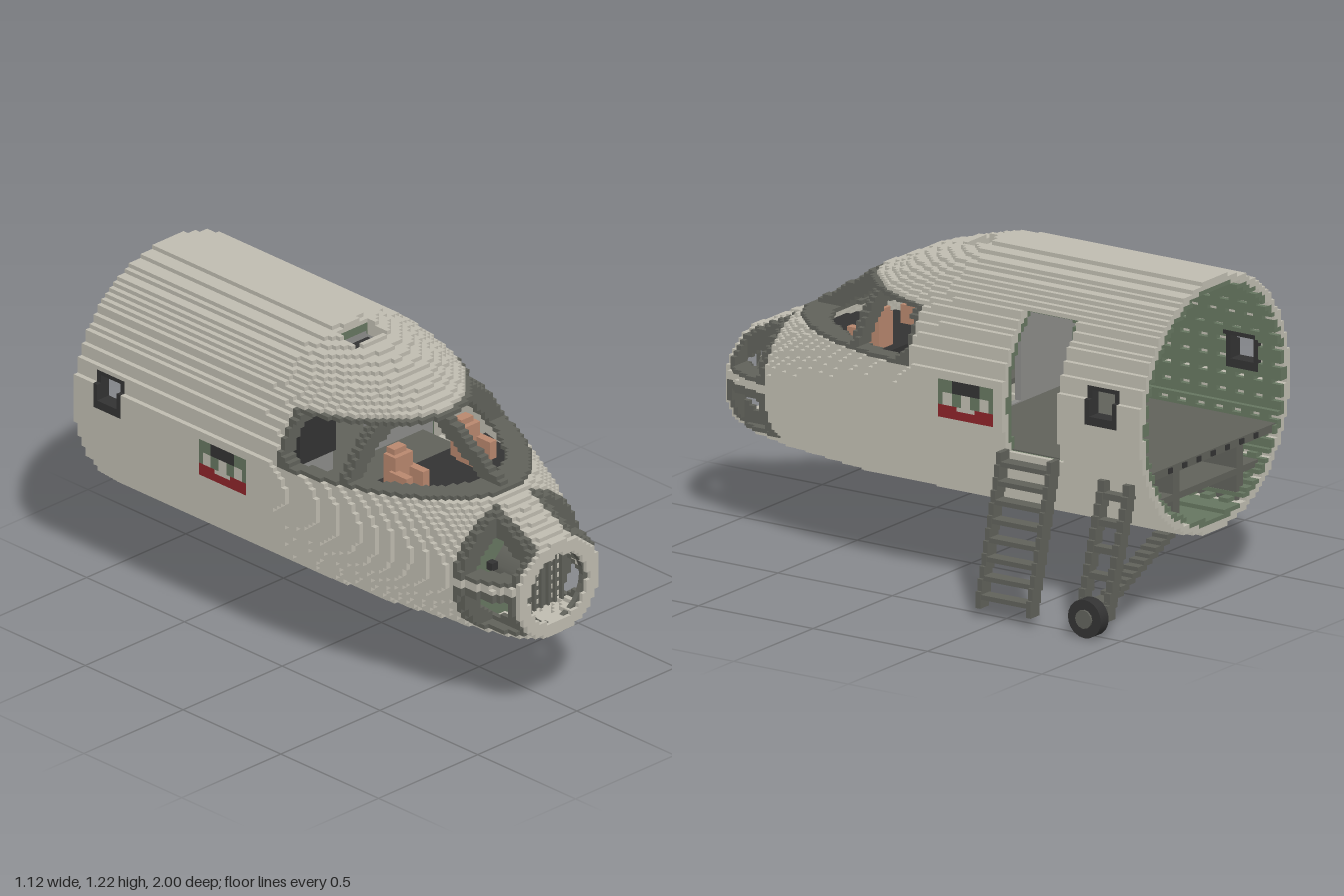
import * as THREE from 'three';

const mat = (name, hex) => {
  const m = new THREE.MeshStandardMaterial({ color: hex });
  m.name = name;
  return m;
};
const hullGrey = mat('warm light grey', 0xbfbcb0);
const darkGrey = mat('dark grey', 0x60615a);
const midGrey = mat('mid grey', 0x8c8c89);
const green = mat('sand green', 0x667660);
const black = mat('black', 0x333333);
const tan = mat('tan', 0xb8876e);
const red = mat('red', 0x8c2429);

const CX = -0.09; // fuselage centre line

// Fuselage stations: half width, widest height, top and bottom
const ST = [-0.1, 0, 0.2, 0.4, 0.6, 0.77, 0.9, 1];
const WIDTH = [0.475, 0.475, 0.45, 0.405, 0.345, 0.3, 0.255, 0.2];
const MID = [0.745, 0.745, 0.715, 0.675, 0.63, 0.58, 0.55, 0.53];
const TOP = [1.22, 1.2, 1.14, 1.045, 0.925, 0.815, 0.75, 0.705];
const BOTTOM = [0.27, 0.27, 0.27, 0.27, 0.285, 0.297, 0.315, 0.345];

function lerpTable(values, z) {
  if (z <= ST[0]) return values[0];
  let i = 1;
  while (i < ST.length - 1 && z > ST[i]) i++;
  const t = Math.min(1, (z - ST[i - 1]) / (ST[i] - ST[i - 1]));
  return values[i - 1] + (values[i] - values[i - 1]) * t;
}

// Depth below the fuselage skin, negative outside
function depthAt(dx, y, z) {
  const w = lerpTable(WIDTH, z), c = lerpTable(MID, z);
  const h = y > c ? lerpTable(TOP, z) - c : c - lerpTable(BOTTOM, z);
  return (1 - Math.hypot(dx / w, (y - c) / h)) * Math.min(w, h);
}

const inNoseWindow = (dx, y, z, m) => z > 0.79 - m && z < 0.96 + m &&
  ((y > 0.61 - m && dx > 0.11 - m) || (y > 0.38 - m && y < 0.53 + m && dx > 0.14 - m));
const inCabinWindow = (dx, y, z, m) => dx > 0.3 &&
  Math.abs(y - 0.82) < 0.05 + m && Math.abs(z + 0.83) < 0.05 + m;

// Part ids used by the brick grid
const PARTS = [null, ['hullPlating', hullGrey], ['innerLining', green], ['windowFrames', darkGrey],
  ['cabinWindowFrames', black], ['sidePanelRed', red]];

function brickAt(x, y, z, j, k) {
  const dx = Math.abs(x - CX), depth = depthAt(dx, y, z);
  if (depth < 0) return 0;
  if (depth > 0.05 && depthAt(dx, y, Math.min(z + 0.04, 0.99)) > 0.05) return 0;
  // door, roof opening
  if (x > 0.2 && y > 0.575 && y < 1.07 && z > -0.64 && z < -0.4) return 0;
  if (y > 1.1 && dx < 0.07 && z > -0.06 && z < 0.04) return 0;
  // cabin windows
  if (inCabinWindow(dx, y, z, 0)) return 0;
  if (inCabinWindow(dx, y, z, 0.018)) return 4;
  // cockpit glazing with pillars
  const rear = 0.04 + 0.05 * Math.pow(Math.abs(y - 0.93) / 0.09, 4);
  if (y > 0.845 && y < 1.02 && z > rear) return dx < 0.02 || (z > 0.28 && z < 0.32) ? 3 : 0;
  if (y > 0.822 && y < 1.035 && z > 0.03) return 3;
  // nose glazing
  if (inNoseWindow(dx, y, z, 0)) return 0;
  if (inNoseWindow(dx, y, z, 0.022)) return 3;
  // ribbed lining
  if (z < -0.06 && depth > 0.028) return j % 4 === 0 && k % 4 < 2 ? 0 : 2;
  // painted side panel
  const pz = Math.abs(z + 0.24);
  if (pz < 0.12 && y > 0.67 && y < 0.81) {
    if (y < 0.71) return pz < 0.04 && y > 0.69 ? 1 : 5;
    if (y < 0.765) return pz < 0.03 || (pz > 0.06 && pz < 0.09) ? 1 : 2;
    return pz < 0.06 ? 4 : 2;
  }
  return 1;
}

// Stepped brick shell: only exposed faces, joined into long strips
function buildShell(group) {
  const n = [48, 60, 100], size = [0.95 / 48, 0.95 / 60, 0.02], origin = [-0.565, 0.27, -1];
  const grid = new Uint8Array(n[0] * n[1] * n[2]);
  const at = (c) => c.some((v, a) => v < 0 || v >= n[a]) ? 0 : grid[(c[2] * n[1] + c[1]) * n[0] + c[0]];
  for (let k = 0; k < n[2]; k++) for (let j = 0; j < n[1]; j++) for (let i = 0; i < n[0]; i++) {
    const p = [i, j, k].map((v, a) => origin[a] + (v + 0.5) * size[a]);
    grid[(k * n[1] + j) * n[0] + i] = brickAt(p[0], p[1], p[2], j, k);
  }
  const out = PARTS.map(() => []);
  for (let a = 0; a < 3; a++) for (const sign of [-1, 1]) {
    const run = a === 2 ? 0 : 2, side = 3 - a - run, u = (a + 1) % 3, v = (a + 2) % 3;
    const c = [0, 0, 0];
    const exposed = () => {
      const id = at(c);
      if (!id) return 0;
      const q = [...c];
      q[a] += sign;
      return at(q) ? 0 : id;
    };
    for (let i = 0; i < n[a]; i++) for (let j = 0; j < n[side]; j++) {
      let current = 0, start = 0;
      for (let k = 0; k <= n[run]; k++) {
        c[a] = i; c[side] = j; c[run] = k;
        const id = k < n[run] ? exposed() : 0;
        if (id === current) continue;
        if (current) {
          const lo = [0, 0, 0], len = [1, 1, 1];
          lo[a] = i + (sign > 0 ? 1 : 0); lo[side] = j; lo[run] = start; len[run] = k - start;
          const corner = (du, dv) => {
            const p = [...lo];
            p[u] += du * len[u]; p[v] += dv * len[v];
            return p.map((t, b) => origin[b] + t * size[b]);
          };
          const quad = [corner(0, 0), corner(1, 0), corner(1, 1), corner(0, 1)];
          if (sign < 0) quad.reverse();
          for (const t of [0, 1, 2, 0, 2, 3]) out[current].push(...quad[t]);
        }
        current = id; start = k;
      }
    }
  }
  PARTS.forEach((part, id) => {
    if (!part || !out[id].length) return;
    const g = new THREE.BufferGeometry();
    g.setAttribute('position', new THREE.Float32BufferAttribute(out[id], 3));
    g.computeVertexNormals();
    add(group, part[0], g, part[1]);
  });
}

function add(group, name, geometry, material, x = 0, y = 0, z = 0) {
  const mesh = new THREE.Mesh(geometry, material);
  mesh.name = name;
  mesh.position.set(x, y, z);
  group.add(mesh);
  return mesh;
}
function box(group, name, material, x0, x1, y0, y1, z0, z1) {
  return add(group, name, new THREE.BoxGeometry(x1 - x0, y1 - y0, z1 - z0), material,
    (x0 + x1) / 2, (y0 + y1) / 2, (z0 + z1) / 2);
}
// Row of overlapping blocks that steps from one point to another in x and y
function steppedBar(group, name, from, to, count, w, z0, z1) {
  const h = Math.abs(to[1] - from[1]) / count;
  for (let i = 0; i < count; i++) {
    const t = (i + 0.5) / count;
    const x = from[0] + (to[0] - from[0]) * t, y = from[1] + (to[1] - from[1]) * t;
    box(group, name, darkGrey, x - w / 2, x + w / 2, y - h * 0.7, y + h * 0.7, z0, z1);
  }
}
const extrude = (shape, depth) =>
  new THREE.ExtrudeGeometry(shape, { depth, bevelEnabled: false, curveSegments: 12 });

export function createModel() {
  const model = new THREE.Group();
  model.name = 'aircraftNose';
  buildShell(model);

  // Cabin floor and the beams below it
  box(model, 'cabinFloor', darkGrey, -0.5, 0.32, 0.545, 0.575, -0.99, -0.06);
  box(model, 'lowerFloor', darkGrey, -0.42, 0.24, 0.43, 0.455, -0.97, -0.06);
  for (const s of [-1, 1]) box(model, 'floorBeam', darkGrey, CX + s * 0.2 - 0.02, CX + s * 0.2 + 0.02, 0.33, 0.545, -0.97, -0.06);
  for (let i = -3; i <= 3; i++) box(model, 'floorBolt', black, CX + i * 0.09 - 0.012, CX + i * 0.09 + 0.012, 0.55, 0.57, -0.996, -0.985);

  // Cockpit bulkhead with doorway
  const wall = new THREE.Shape().absarc(CX, 0.745, 0.435, 0, Math.PI * 2);
  const door = new THREE.Path();
  door.moveTo(-0.18, 0.58).lineTo(0, 0.58).lineTo(0, 0.95).lineTo(-0.18, 0.95).closePath();
  wall.holes.push(door);
  add(model, 'cockpitBulkhead', extrude(wall, 0.025), midGrey, 0, 0, -0.09);
  box(model, 'rearPanel', black, -0.39, -0.21, 0.76, 0.98, -0.06, -0.02);
  box(model, 'overheadBox', black, -0.17, -0.01, 0.945, 1.13, -0.06, 0.05);
  box(model, 'cockpitFloor', darkGrey, -0.45, 0.27, 0.64, 0.66, -0.06, 0.3);

  // Instrument deck
  const deck = new THREE.Shape();
  [[0.34, 0.28], [0.3, 0.45], [0.24, 0.6], [0.12, 0.68], [-0.12, 0.68], [-0.24, 0.6], [-0.3, 0.45], [-0.34, 0.28]]
    .forEach(([x, z], i) => i ? deck.lineTo(x, -z) : deck.moveTo(x, -z));
  add(model, 'instrumentDeck', extrude(deck, 0.04), black, CX, 0.735, 0).rotation.x = -Math.PI / 2;

  // Seats
  for (const s of [-1, 1]) {
    const x = CX + s * 0.169;
    const seat = new THREE.Group();
    seat.name = 'seat';
    box(seat, 'seatBack', tan, x - 0.045, x + 0.045, 0.77, 0.9, 0.32, 0.38);
    box(seat, 'seatHeadrest', tan, x - 0.03, x + 0.03, 0.9, 0.922, 0.32, 0.36);
    for (const a of [-1, 1]) box(seat, 'seatArm', tan, x + a * 0.042 - 0.016, x + a * 0.042 + 0.016, 0.77, 0.845, 0.36, 0.45);
    model.add(seat);
  }

  // Nose compartment: bulkhead, turret and front ring
  const noseWall = new THREE.Shape().absellipse(CX, 0.565, 0.275, 0.235, 0, Math.PI * 2);
  add(model, 'noseBulkhead', extrude(noseWall, 0.02), green, 0, 0, 0.745);
  const drum = new THREE.CylinderGeometry(0.115, 0.115, 0.16, 8).rotateY(Math.PI / 8).rotateX(Math.PI / 2);
  add(model, 'noseDrum', drum, darkGrey, CX, 0.54, 0.85);
  const rim = new THREE.Shape().absarc(0, 0, 0.16, 0, Math.PI * 2);
  rim.holes.push(new THREE.Path().absarc(0, 0, 0.135, 0, Math.PI * 2));
  add(model, 'noseRim', extrude(rim, 0.02), darkGrey, CX, 0.527, 0.965);
  for (const s of [-1, 1]) for (let i = 0; i < 5; i++) {
    const x = CX + s * 0.05, y = 0.455 + i * 0.036;
    box(model, 'drumSlot', hullGrey, x - 0.022, x + 0.022, y, y + 0.016, 0.928, 0.935);
  }
  for (let i = -2; i <= 2; i++) {
    box(model, 'grilleBar', darkGrey, CX + i * 0.035 - 0.005, CX + i * 0.035 + 0.005, 0.44, 0.63, 0.935, 0.95);
  }
  box(model, 'redLever', red, 0.02, 0.035, 0.5, 0.6, 0.77, 0.785);
  box(model, 'blackLever', black, -0.23, -0.2, 0.57, 0.6, 0.77, 0.8);

  // Belly hatch
  box(model, 'bellyHatchFrame', darkGrey, -0.16, -0.02, 0.262, 0.28, 0.06, 0.2);
  box(model, 'bellyHatch', black, -0.135, -0.045, 0.256, 0.264, 0.085, 0.175);

  // Boarding ladder
  const ladder = new THREE.Group();
  ladder.name = 'boardingLadder';
  for (const z of [-0.64, -0.42]) steppedBar(ladder, 'ladderRail', [0.39, 0.58], [0.53, 0.045], 12, 0.055, z, z + 0.02);
  for (let i = 0; i < 8; i++) {
    const t = (i + 0.5) / 8, x = 0.39 + 0.14 * t, y = 0.58 - 0.535 * t;
    box(ladder, 'ladderStep', darkGrey, x - 0.027, x + 0.027, y - 0.009, y + 0.009, -0.62, -0.42);
  }
  model.add(ladder);

  // Landing gear with diagonal brace and wheel
  const gear = new THREE.Group();
  gear.name = 'landingGear';
  for (const z of [-0.94, -0.83]) steppedBar(gear, 'gearLeg', [0.335, 0.53], [0.48, 0.07], 11, 0.045, z, z + 0.028);
  for (let i = 0; i < 5; i++) {
    const t = (i + 0.5) / 5, x = 0.335 + 0.145 * t, y = 0.53 - 0.46 * t;
    box(gear, 'gearCrossBar', darkGrey, x - 0.02, x + 0.02, y - 0.012, y + 0.012, -0.93, -0.81);
  }
  steppedBar(gear, 'gearBrace', [0.03, 0.275], [0.5, 0.075], 13, 0.055, -0.905, -0.84);
  const tyre = new THREE.CylinderGeometry(0.072, 0.072, 0.05, 20).rotateZ(Math.PI / 2);
  add(gear, 'wheel', tyre, black, 0.52, 0.073, -0.87);
  const hub = new THREE.CylinderGeometry(0.035, 0.035, 0.06, 12).rotateZ(Math.PI / 2);
  add(gear, 'wheelHub', hub, darkGrey, 0.523, 0.073, -0.87);
  model.add(gear);

  return model;
}
